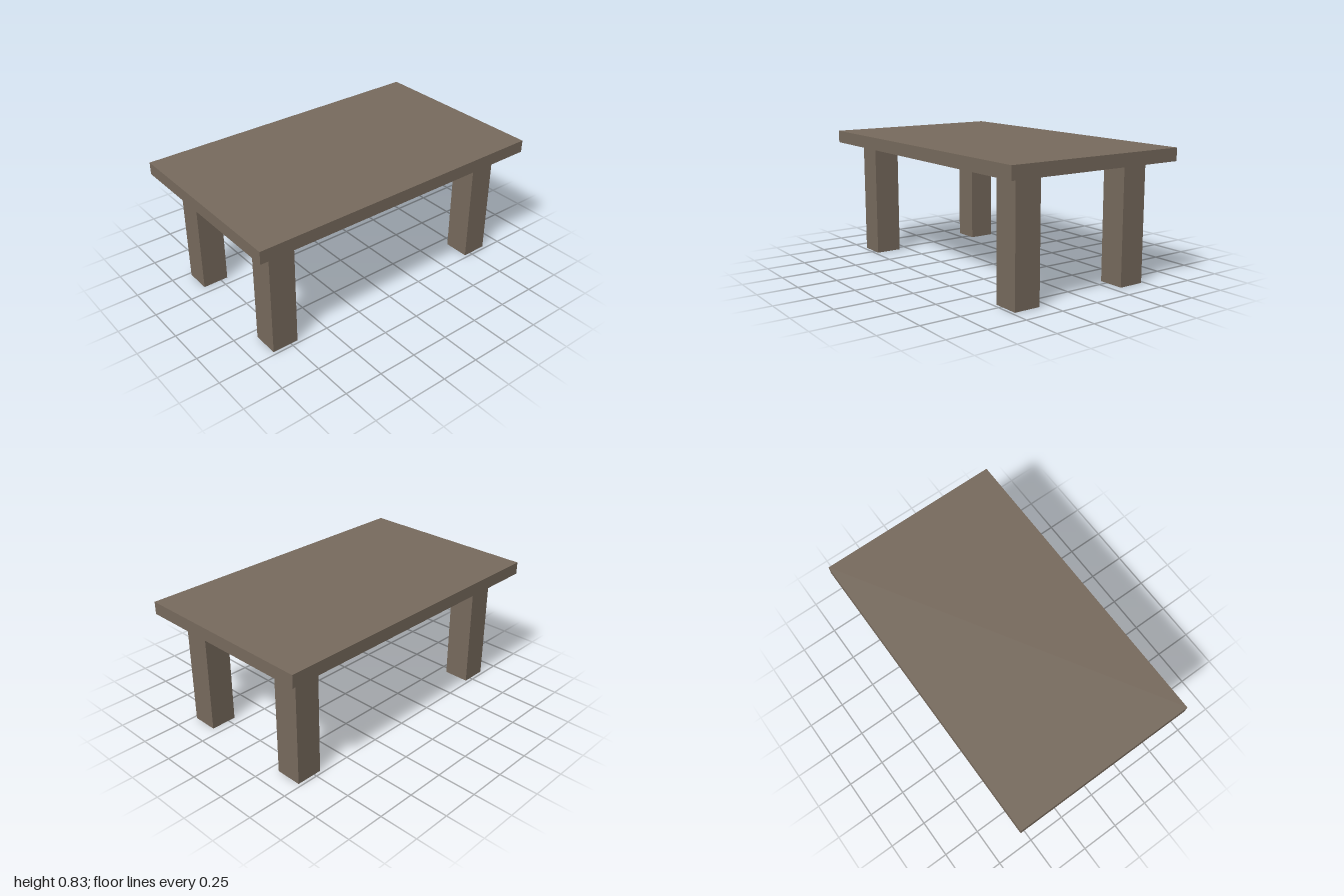
import * as THREE from 'three';

export function createModel() {
  const model = new THREE.Group();
  model.name = 'table';

  const wood = new THREE.MeshStandardMaterial({ color: 0x776a5d, side: THREE.DoubleSide });
  wood.name = 'brownWood';

  const legHeight = 0.75, legWidth = 0.17, topThickness = 0.08;

  // Tabletop slab
  const top = new THREE.Mesh(new THREE.BoxGeometry(2, topThickness, 1.206), wood);
  top.name = 'tabletop';
  top.position.y = legHeight + topThickness / 2;
  model.add(top);

  // Square hollow legs, open at the ends
  const radius = legWidth / Math.SQRT2;
  const legGeometry = new THREE.CylinderGeometry(radius, radius, legHeight, 4, 1, true, Math.PI / 4)
    .toNonIndexed();
  legGeometry.computeVertexNormals();

  for (const [sideName, sx] of [['Left', 1], ['Right', -1]]) {
    for (const [endName, sz] of [['front', 1], ['back', -1]]) {
      const leg = new THREE.Mesh(legGeometry, wood);
      leg.name = `${endName}${sideName}Leg`;
      leg.position.set(sx * 0.787, legHeight / 2, sz * 0.394);
      model.add(leg);
    }
  }

  return model;
}
